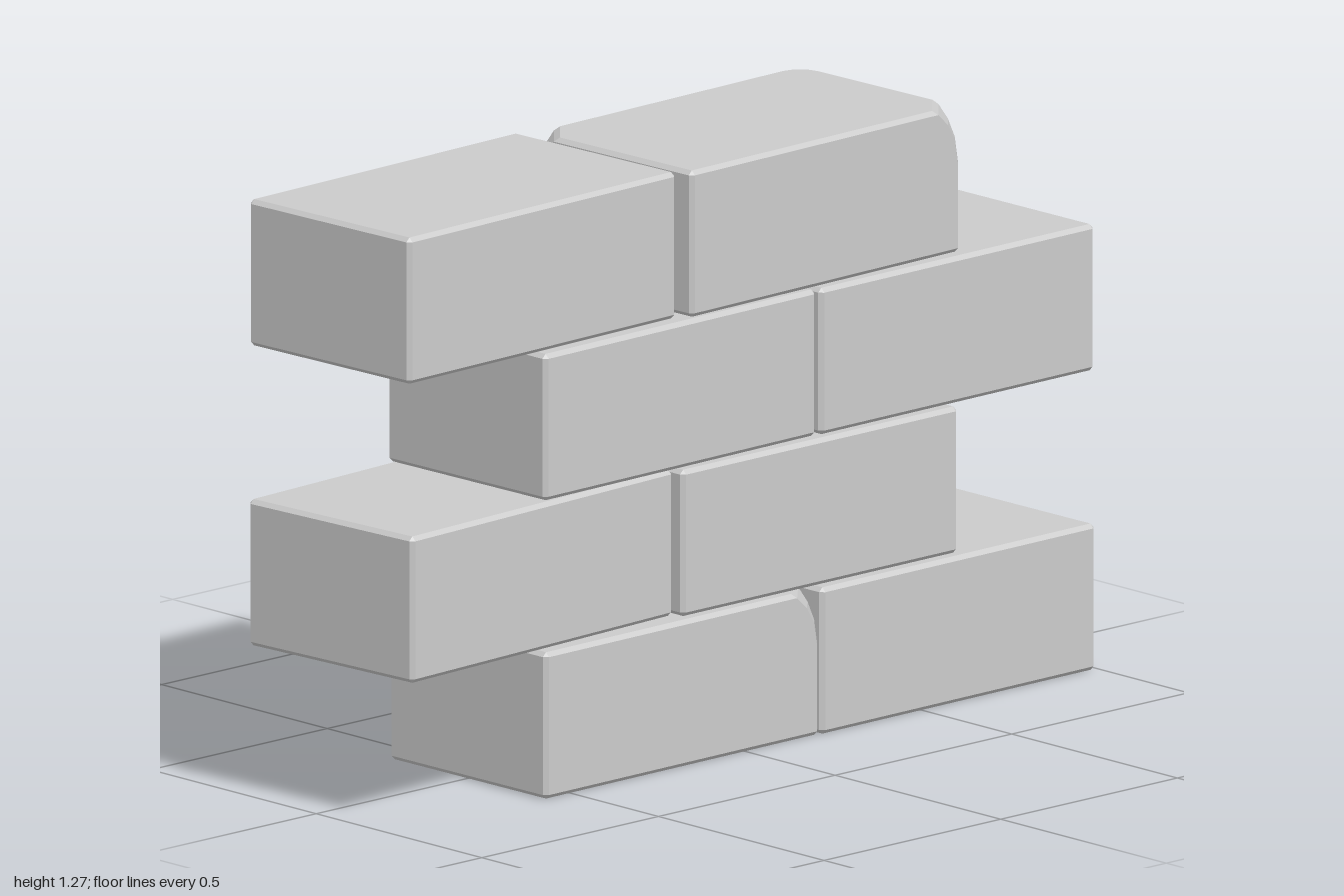
import * as THREE from 'three';
import { ConvexGeometry } from 'three/addons/geometries/ConvexGeometry.js';

const HX = 0.392, HY = 0.156, HZ = 0.235; // brick half sizes
const BEVEL = 0.009;
const COURSE = 0.319;

// Corner points of one vertical edge; sx, sz choose the edge.
function edgePoints(sx, sz, style) {
  const pts = [];
  const add = (insetX, y, insetZ) => pts.push(new THREE.Vector3(sx * (HX - insetX), y, sz * (HZ - insetZ)));

  // full-height rounded edge
  if (style === 'round') {
    const r = 0.06;
    for (let i = 0; i <= 3; i++) {
      const a = (i / 3) * Math.PI / 2, c = Math.cos(a), s = Math.sin(a);
      for (const sy of [1, -1]) {
        add(r - r * c, sy * (HY - BEVEL), r - r * s);
        add(r - (r - BEVEL) * c, sy * HY, r - (r - BEVEL) * s);
      }
    }
    return pts;
  }

  // plain bevelled corners, the top one optionally chipped
  for (const sy of [1, -1]) {
    if (sy === 1 && style === 'chip') {
      add(0.075, HY, BEVEL);
      add(BEVEL, HY, 0.075);
      for (const [depth, inset] of [[BEVEL, 0.066], [0.035, 0.038], [0.07, 0.018], [0.12, BEVEL]]) {
        add(inset, HY - depth, 0);
        add(0, HY - depth, inset);
      }
    } else {
      add(BEVEL, sy * HY, BEVEL);
      add(0, sy * (HY - BEVEL), BEVEL);
      add(BEVEL, sy * (HY - BEVEL), 0);
    }
  }
  return pts;
}

function brickGeometry({ frontRight, backRight, backLeft } = {}) {
  return new ConvexGeometry([
    ...edgePoints(1, 1, frontRight),
    ...edgePoints(1, -1, backRight),
    ...edgePoints(-1, -1, backLeft),
    ...edgePoints(-1, 1),
  ]);
}

export function createModel() {
  const group = new THREE.Group();
  group.name = 'brickWall';
  const material = new THREE.MeshStandardMaterial({ color: 0xcccccc, flatShading: true });

  const plain = brickGeometry();
  const chipped = brickGeometry({ frontRight: 'chip', backLeft: 'chip' });
  const worn = brickGeometry({ frontRight: 'chip', backLeft: 'chip', backRight: 'round' });

  // each course, bottom to top: [geometry, x, z, turn]
  const courses = [
    [[chipped, -0.187, 0.003, 0.01], [plain, 0.598, 0, 0.01]],
    [[plain, -0.592, 0.001, 0.058], [plain, 0.208, 0, 0.003]],
    [[plain, -0.195, 0.004, 0.02], [plain, 0.598, -0.003, 0.01]],
    [[plain, -0.592, 0.007, 0.035], [worn, 0.215, 0.002, 0.03]],
  ];
  courses.forEach((course, row) => course.forEach(([geometry, x, z, turn], i) => {
    const brick = new THREE.Mesh(geometry, material);
    brick.name = `brickCourse${row + 1}Number${i + 1}`;
    brick.position.set(x, HY + row * COURSE, z);
    brick.rotation.y = turn;
    group.add(brick);
  }));
  return group;
}
